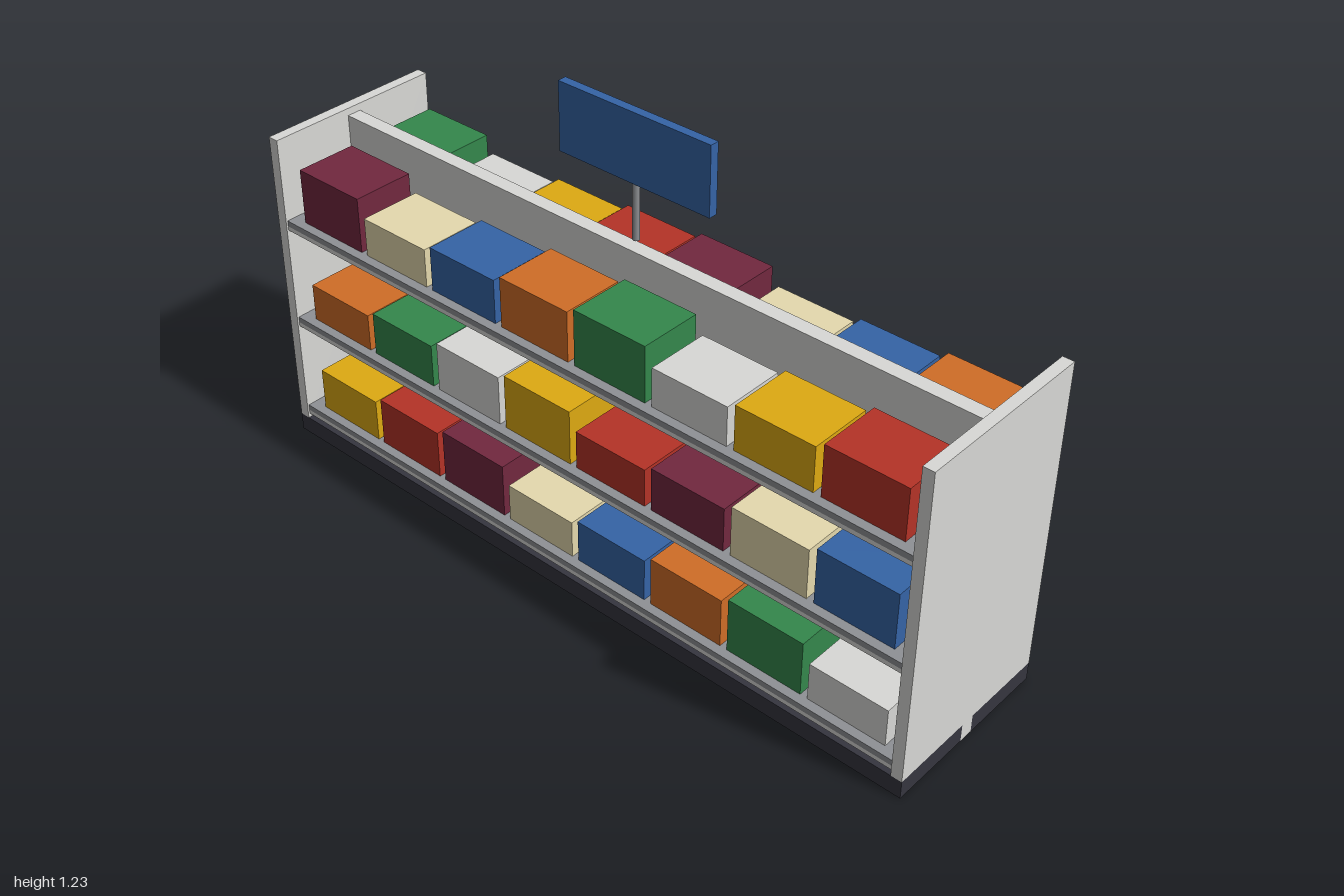
import * as THREE from 'three';

const mat = (name, color) => {
  const m = new THREE.MeshStandardMaterial({ color });
  m.name = name;
  return m;
};

export function createModel() {
  const M = {
    light: mat('light grey', 0xd9d9d6),
    steel: mat('steel grey', 0x8f9195),
    dark: mat('dark plinth', 0x35353f),
    red: mat('red', 0xb53327),
    maroon: mat('maroon', 0x72283f),
    cream: mat('cream', 0xe6daae),
    blue: mat('blue', 0x3564a6),
    orange: mat('orange', 0xd06d27),
    green: mat('green', 0x34874c),
    yellow: mat('yellow', 0xdeaa12),
  };
  const model = new THREE.Group();
  model.name = 'shopShelf';

  // Box given by its minimum and maximum corners
  const box = (name, material, [x0, y0, z0], [x1, y1, z1], parent = model) => {
    const mesh = new THREE.Mesh(new THREE.BoxGeometry(x1 - x0, y1 - y0, z1 - z0), material);
    mesh.position.set((x0 + x1) / 2, (y0 + y1) / 2, (z0 + z1) / 2);
    mesh.name = name;
    parent.add(mesh);
  };

  // Central back panel standing on the plinth core
  box('plinthCore', M.dark, [-0.97, 0, -0.02], [0.97, 0.05, 0.02]);
  box('backPanel', M.light, [-0.97, 0.05, -0.02], [0.97, 0.88, 0.02]);

  // End panels, each with a narrow foot between the two plinths
  for (const s of [-1, 1]) {
    const a = s < 0 ? -1 : 0.97;
    box('endPanel', M.light, [a, 0.05, -0.25], [a + 0.03, 0.9, 0.25]);
    box('endPanelFoot', M.light, [a, 0, -0.02], [a + 0.03, 0.05, 0.02]);
  }

  // Both faces: plinth, three shelves, and a row of goods on each shelf
  const cycle = ['red', 'maroon', 'cream', 'blue', 'orange', 'green', 'light', 'yellow'];
  const heights = [0.105, 0.12, 0.137, 0.152];
  const shelfTops = [0.09, 0.375, 0.668];
  const heightStart = [1, 0, 3];
  const faces = [
    { name: 'frontSide', s: 1, start: [7, 4, 1] },
    { name: 'backSide', s: -1, start: [3, 0, 5] },
  ];
  for (const { name, s, start } of faces) {
    const side = new THREE.Group();
    side.name = name;
    model.add(side);
    // Depths are measured outward from the centre
    const add = (part, material, x0, x1, y0, y1, d0, d1) =>
      box(part, material, [x0, y0, s > 0 ? d0 : -d1], [x1, y1, s > 0 ? d1 : -d0], side);

    add('plinth', M.dark, -1, 1, 0, 0.05, 0.02, 0.25);
    shelfTops.forEach((y, row) => {
      add('shelf', M.steel, -0.97, 0.97, y - 0.016, y, 0.02, 0.245);
      add('shelfRail', M.light, -0.97, 0.97, y - 0.028, y - 0.016, 0.236, 0.245);
      for (let i = 0; i < 8; i++) {
        const x = -0.93 + i * 0.235;
        const h = heights[(i + heightStart[row]) % 4];
        add('product', M[cycle[(i + start[row]) % 8]], x, x + 0.215, y, y + h, 0.05, 0.22);
      }
    });
  }

  // Sign on a thin post
  const post = new THREE.Mesh(new THREE.CylinderGeometry(0.009, 0.009, 0.15, 12), M.steel);
  post.position.y = 0.975;
  post.name = 'signPost';
  model.add(post);
  box('signBoard', M.blue, [-0.225, 1.05, -0.012], [0.225, 1.23, 0.012]);

  return model;
}
